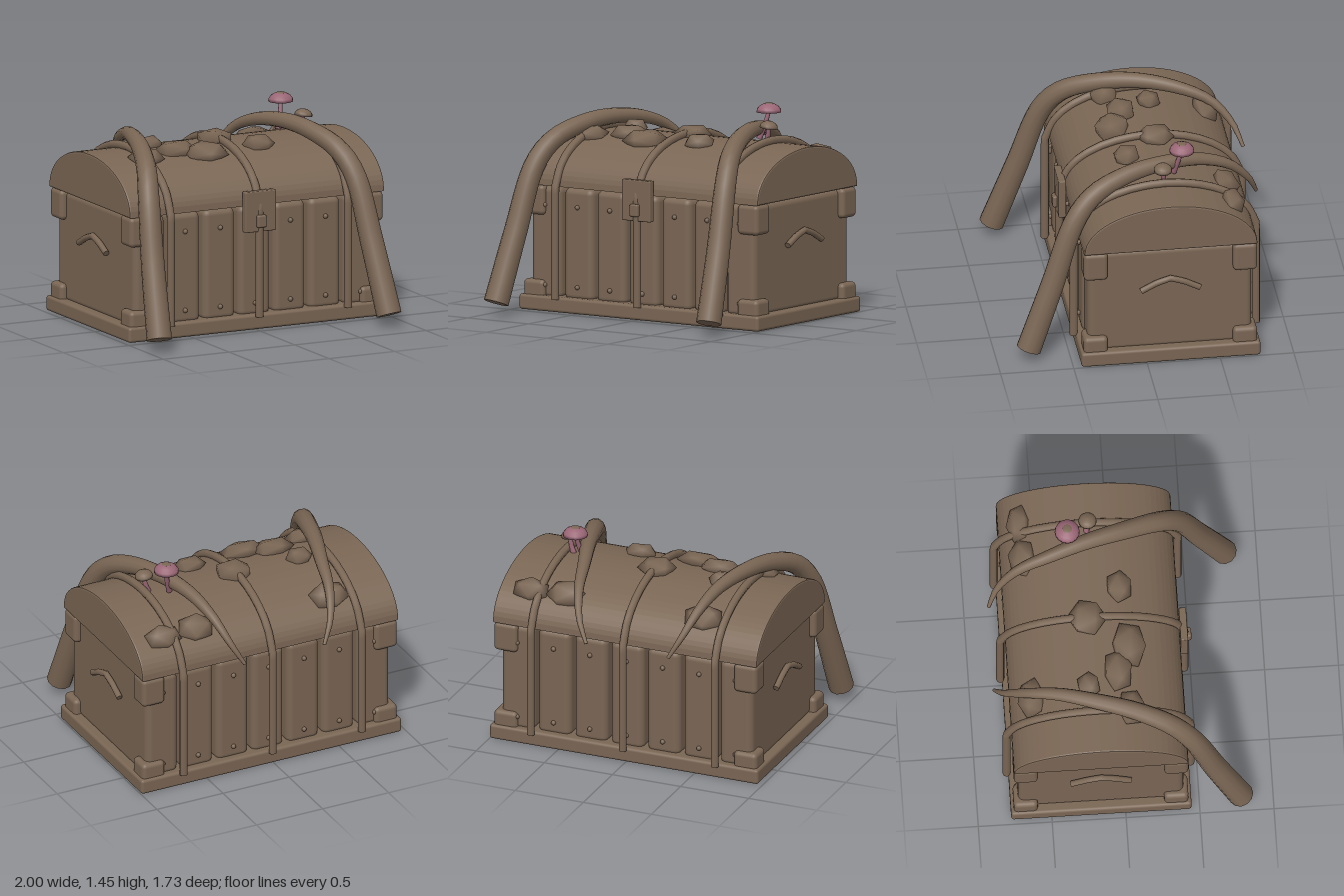
import * as THREE from 'three';
import { RoundedBoxGeometry } from 'three/addons/geometries/RoundedBoxGeometry.js';
import { mergeVertices } from 'three/addons/utils/BufferGeometryUtils.js';

const CX = 0.015, CZ = -0.165;           // chest centre
const LID_Y = 0.855, LID_H = 0.335, LID_D = 0.59;

export function createModel() {
  const model = new THREE.Group();
  model.name = 'overgrownChest';
  const wood = new THREE.MeshStandardMaterial({ name: 'brown', color: 0x7a6654 });
  const pink = new THREE.MeshStandardMaterial({ name: 'mushroomPink', color: 0x9a6676 });

  const add = (name, geo, x = 0, y = 0, z = 0, mat = wood) => {
    const mesh = new THREE.Mesh(geo, mat);
    mesh.name = name;
    mesh.position.set(x, y, z);
    model.add(mesh);
    return mesh;
  };
  const box = (name, w, h, d, x, y, z, r) =>
    add(name, new RoundedBoxGeometry(w, h, d, 3, r), x, y, z);

  // Tube along points; radius follows a function of 0..1, both ends closed
  const taperedTube = (name, pts, radius, segs, sides, mat = wood, smooth = true) => {
    const vs = pts.map((p) => new THREE.Vector3(...p));
    const curve = smooth ? new THREE.CatmullRomCurve3(vs) : new THREE.CurvePath();
    if (!smooth) vs.slice(1).forEach((v, i) => curve.add(new THREE.LineCurve3(vs[i], v)));
    const geo = new THREE.TubeGeometry(curve, segs, 1, sides);
    const pos = geo.attributes.position, v = new THREE.Vector3();
    for (let i = 0; i < pos.count; i++) {
      const t = Math.floor(i / (sides + 1)) / segs;
      const c = curve.getPointAt(t);
      v.fromBufferAttribute(pos, i).sub(c).multiplyScalar(radius(t)).add(c);
      pos.setXYZ(i, v.x, v.y, v.z);
    }
    add(name, geo, 0, 0, 0, mat);
    for (const t of [0, 1]) {
      const p = curve.getPointAt(t), dir = curve.getTangentAt(t).multiplyScalar(t ? 1 : -1);
      const cap = add(name + 'End', new THREE.CircleGeometry(radius(t), sides), p.x, p.y, p.z, mat);
      cap.lookAt(p.clone().add(dir));
    }
  };

  // Base and seven full-depth planks with gaps between them
  box('base', 1.97, 0.105, 1.22, CX, 0.0525, CZ, 0.02);
  for (let i = -3; i <= 3; i++) {
    const x = CX + i * 0.267;
    box('plank', 0.24, 0.77, 1.12, x, 0.465, CZ, 0.045);
    for (const y of [0.175, 0.72]) for (const s of [-1, 1])
      add('rivet', new THREE.SphereGeometry(0.017, 10, 8), x, y, CZ + s * 0.563);
  }

  // Corner brackets
  for (const sx of [-1, 1]) for (const sz of [-1, 1]) for (const y of [0.105, 0.752])
    box('cornerBracket', 0.17, 0.205, 0.163, CX + sx * 0.88, y, CZ + sz * 0.509, 0.03);

  // Barrel lid: half ellipse run along x
  const b = 0.012;
  const shape = new THREE.Shape();
  shape.moveTo(LID_D - b, b);
  for (let i = 1; i <= 32; i++) {
    const a = (i / 32) * Math.PI;
    shape.lineTo(Math.cos(a) * (LID_D - b), b + Math.sin(a) * (LID_H - 2 * b));
  }
  const lidGeo = new THREE.ExtrudeGeometry(shape, {
    depth: 1.94 - 2 * b, bevelEnabled: true, bevelSize: b, bevelThickness: b, bevelSegments: 2,
  });
  lidGeo.translate(0, 0, -0.97 + b).rotateY(Math.PI / 2);
  add('lid', lidGeo, CX, LID_Y, CZ);

  // Straps over the lid and down both faces
  for (const x of [-0.66, CX, 0.69]) {
    const pts = [[x, 0.09, CZ + 0.622], [x, 0.85, CZ + 0.622]];
    for (let i = 1; i < 16; i++) {
      const a = (i / 16) * Math.PI;
      pts.push([x, LID_Y + Math.sin(a) * 0.358, CZ + Math.cos(a) * 0.605]);
    }
    pts.push([x, 0.85, CZ - 0.622], [x, 0.09, CZ - 0.622]);
    taperedTube('strap', pts, () => 0.028, 64, 8, wood, false);
  }

  // Latch
  box('latchPlate', 0.235, 0.28, 0.05, 0.017, 0.82, 0.452, 0.008);
  box('latchKnob', 0.068, 0.085, 0.05, 0.015, 0.755, 0.48, 0.012);

  // Arched side handles
  for (const s of [-1, 1]) {
    const x = CX + s * 0.945;
    taperedTube('handle', [[x, 0.54, 0.035], [x, 0.595, -0.07], [x, 0.625, CZ], [x, 0.595, -0.26], [x, 0.54, -0.365]],
      () => 0.022, 12, 8, wood, false);
  }

  // Two thick roots draped front to back, tapering at the rear
  const rootPath = [[0.875, 0.085, 0.783], [0.835, 0.55, 0.615], [0.785, 1.0, 0.455], [0.73, 1.155, 0.32],
    [0.65, 1.245, 0.09], [0.575, 1.275, -0.17], [0.495, 1.245, -0.43], [0.44, 1.155, -0.65],
    [0.375, 1.0, -0.79], [0.3, 0.86, -0.85]];
  for (const s of [-1, 1])
    taperedTube('root', rootPath.map(([x, y, z]) => [s * x - 0.043, y, z]),
      (t) => 0.086 - 0.03 * t - 0.044 * t * t * t, 36, 12);

  // Faceted lumps lying on the lid: x, z, half width, half depth, turn
  const lumps = [[-0.5, -0.61, 0.14, 0.1, 0.2], [-0.47, -0.22, 0.09, 0.08, 0.5], [0.015, -0.2, 0.125, 0.125, 0.9],
    [-0.375, -0.015, 0.145, 0.1, 0.25], [-0.19, 0.07, 0.16, 0.12, -0.1], [0.23, 0.03, 0.11, 0.09, 0.4],
    [-0.64, 0.06, 0.125, 0.095, 0.1], [0.51, -0.61, 0.13, 0.1, -0.3], [0.76, -0.62, 0.13, 0.085, 0.1]];
  const up = new THREE.Vector3(0, 1, 0);
  for (const [x, z, w, d, turn] of lumps) {
    const u = (z - CZ) / LID_D, h = Math.sqrt(1 - u * u);
    const normal = new THREE.Vector3(0, h / LID_H, u / LID_D).normalize();
    const raw = new THREE.IcosahedronGeometry(1, 0);
    raw.deleteAttribute('normal');
    raw.deleteAttribute('uv');
    const geo = mergeVertices(raw);
    geo.rotateY(turn).scale(w * 1.08, 0.065, d * 1.08);
    geo.computeVertexNormals();
    const lump = add('mossLump', geo, x, LID_Y + h * LID_H + 0.012, z);
    lump.quaternion.setFromUnitVectors(up, normal);
  }

  // Mushrooms: domed cap with a shallow underside on a leaning stalk
  const mushroom = (foot, top, r, h, tilt, capMat) => {
    const mid = foot.map((f, i) => (f + top[i]) / 2 + (i === 0 ? 0.006 : 0));
    taperedTube('mushroomStalk', [foot, mid, top], (t) => 0.021 - 0.007 * t, 6, 8, pink);
    const profile = [[0, 0.008], [0.6 * r, 0], [r, -0.004], [0.96 * r, 0.3 * h], [0.75 * r, 0.66 * h],
      [0.42 * r, 0.92 * h], [0, h]].map(([x, y]) => new THREE.Vector2(x, y));
    const cap = add('mushroomCap', new THREE.LatheGeometry(profile, 16), ...top, capMat);
    cap.rotation.z = tilt;
  };
  mushroom([0.525, 1.2, -0.25], [0.572, 1.385, -0.298], 0.085, 0.058, 0, pink);
  mushroom([0.64, 1.18, -0.165], [0.67, 1.302, -0.155], 0.062, 0.043, -0.15, wood);
  add('mushroomSpot', new THREE.SphereGeometry(0.032, 12, 6, 0, Math.PI * 2, 0, Math.PI / 2)
    .scale(1, 0.22, 1), 0.572, 1.438, -0.298);

  return model;
}
